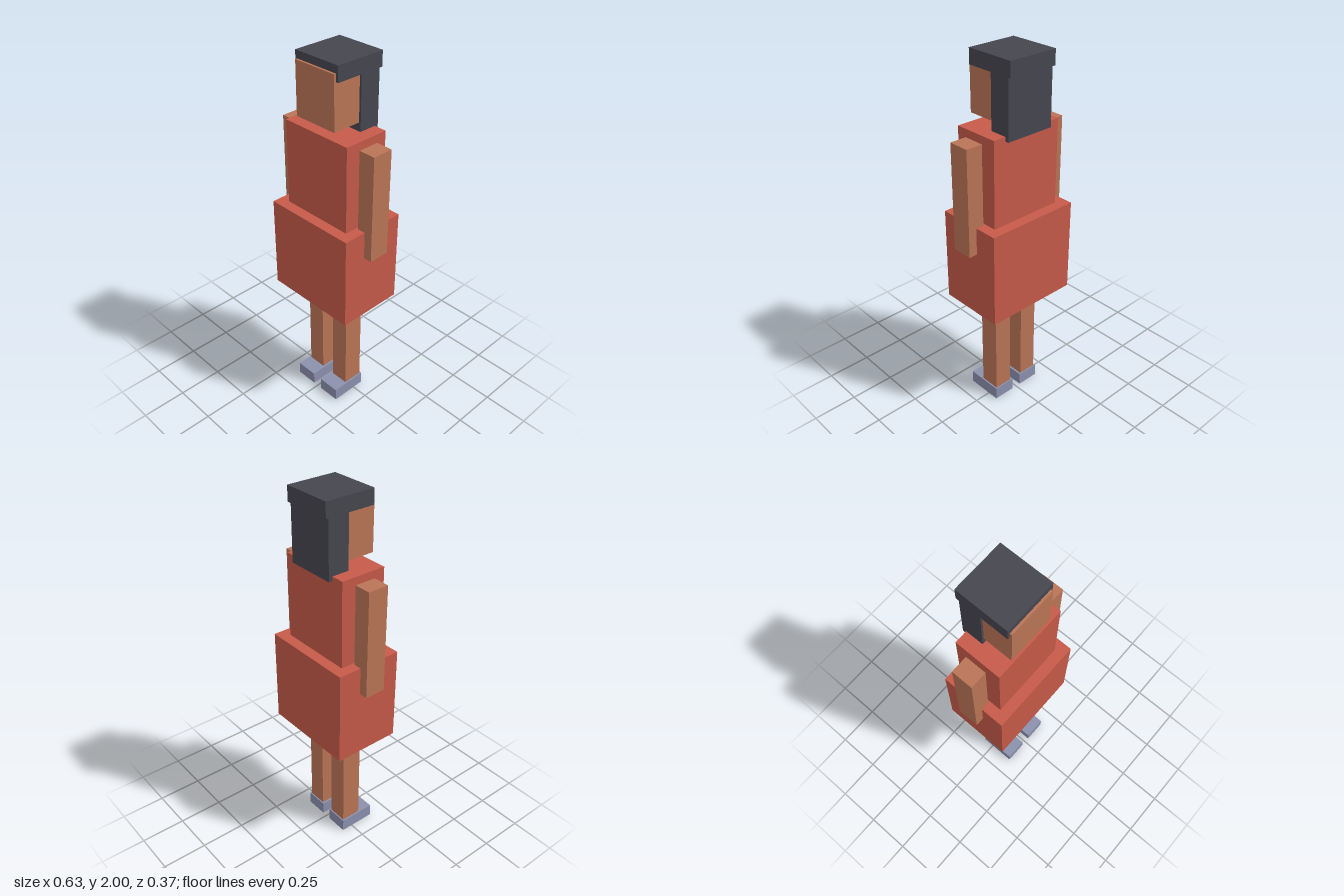
import * as THREE from 'three';

const material = (name, color) => {
  const m = new THREE.MeshStandardMaterial({ color });
  m.name = name;
  return m;
};

export function createModel() {
  const model = new THREE.Group();
  model.name = 'blockFigure';

  const skin = material('skin', 0xba7556);
  const dress = material('dressRed', 0xc65a49);
  const hair = material('hairCharcoal', 0x46464f);
  const shoe = material('shoeGreyBlue', 0x8b90ad);

  // Box given by its extents along each axis
  const block = (name, mat, [x0, x1], [y0, y1], [z0, z1]) => {
    const mesh = new THREE.Mesh(new THREE.BoxGeometry(x1 - x0, y1 - y0, z1 - z0), mat);
    mesh.position.set((x0 + x1) / 2, (y0 + y1) / 2, (z0 + z1) / 2);
    mesh.name = name;
    model.add(mesh);
  };

  // Dress
  block('bodice', dress, [-0.21, 0.21], [1.165, 1.635], [-0.128, 0.128]);
  block('skirt', dress, [-0.268, 0.268], [0.655, 1.17], [-0.187, 0.186]);

  // Head and hair
  block('head', skin, [-0.128, 0.128], [1.68, 1.96], [-0.128, 0.128]);
  block('hairTop', hair, [-0.14, 0.14], [1.92, 2], [-0.165, 0.116]);
  block('hairBack', hair, [-0.139, 0.139], [1.612, 1.925], [-0.149, -0.032]);

  // Limbs and shoes, mirrored left and right
  for (const [side, s] of [['left', 1], ['right', -1]]) {
    const span = (a, b) => (s > 0 ? [a, b] : [-b, -a]);
    block(side + 'Arm', skin, span(0.222, 0.315), [1.02, 1.6], [-0.058, 0.058]);
    block(side + 'Leg', skin, span(0.041, 0.146), [0.01, 0.665], [-0.057, 0.057]);
    block(side + 'Shoe', shoe, span(0.029, 0.155), [0, 0.072], [-0.064, 0.142]);
  }
  return model;
}
